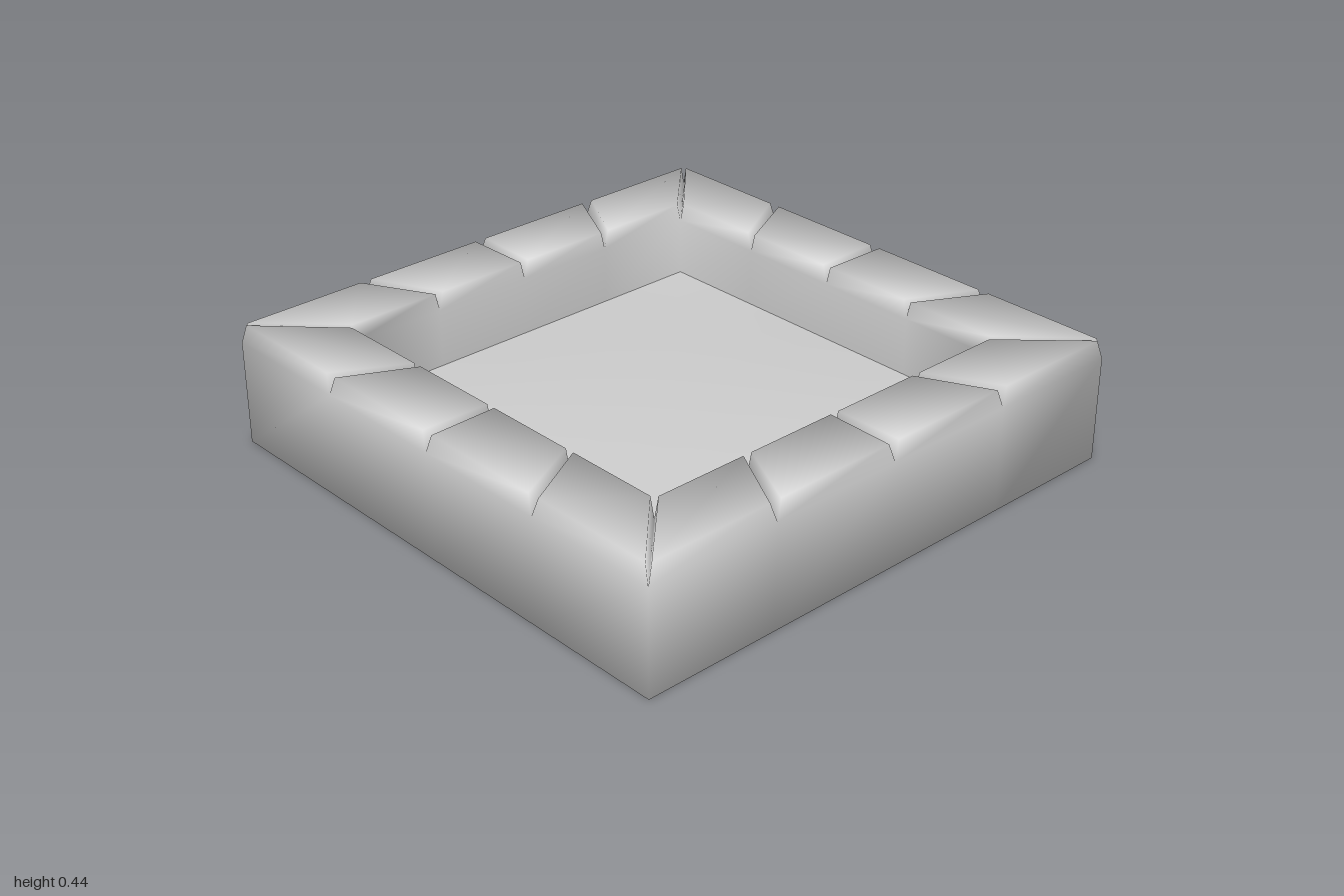
import * as THREE from 'three';
import { mergeVertices } from 'three/addons/utils/BufferGeometryUtils.js';

const INNER = 0.745, TOP = 0.443, NOTCH = 0.375, FLOOR = 0.165, DOME = 0.04, GAP = 0.022;

// Profile of the wall at position t (-1..1) along the front side,
// from the middle of the base, up the outside, over the rim and down the inside.
function profile(t, isNotch) {
  const notchT = Math.round(t * 2) / 2; // nearest notch or corner
  const y = isNotch ? NOTCH : TOP;
  return [
    [0, 0, 0],
    [notchT * 0.5, 0, 0.5],
    [notchT, 0, 1],
    [notchT, NOTCH, 1],
    [t, y, isNotch ? 1 : 0.99],
    [t * INNER, y, INNER],
    [notchT * INNER, NOTCH, INNER],
    [notchT * INNER, FLOOR, INNER],
  ];
}

// Soft normals: each face counts by its angle at the shared corner
function setSoftNormals(geometry) {
  const { position } = geometry.attributes;
  const index = geometry.index.array;
  const sums = Array.from({ length: position.count }, () => new THREE.Vector3());
  for (let i = 0; i < index.length; i += 3) {
    const ids = [index[i], index[i + 1], index[i + 2]];
    const corners = ids.map((id) => new THREE.Vector3().fromBufferAttribute(position, id));
    const normal = new THREE.Triangle(...corners).getNormal(new THREE.Vector3());
    ids.forEach((id, k) => {
      const toNext = corners[(k + 1) % 3].clone().sub(corners[k]);
      const toLast = corners[(k + 2) % 3].clone().sub(corners[k]);
      sums[id].addScaledVector(normal, toNext.angleTo(toLast));
    });
  }
  const normals = sums.flatMap((n) => n.normalize().toArray());
  geometry.setAttribute('normal', new THREE.Float32BufferAttribute(normals, 3));
}

function createWallGeometry() {
  // Stations round all four sides: each notch bottom and its two lips
  const rings = [];
  const up = new THREE.Vector3(0, 1, 0);
  for (let side = 0; side < 4; side++) {
    for (const n of [-1, -0.5, 0, 0.5, 1]) {
      for (const offset of [-GAP, 0, GAP]) {
        if (Math.abs(n + offset) > 1 || (n === 1 && offset === 0)) continue;
        rings.push(profile(n + offset, offset === 0).map((p) =>
          new THREE.Vector3(...p).applyAxisAngle(up, side * Math.PI / 2)));
      }
    }
  }

  // Skin the stations, leaving out collapsed triangles
  const positions = [];
  const addTriangle = (a, b, c) => {
    if (new THREE.Triangle(a, b, c).getArea() < 1e-7) return;
    for (const p of [a, b, c]) positions.push(p.x, p.y, p.z);
  };
  rings.forEach((a, i) => {
    const b = rings[(i + 1) % rings.length];
    for (let j = 0; j < a.length - 1; j++) {
      addTriangle(a[j], b[j], b[j + 1]);
      addTriangle(a[j], b[j + 1], a[j + 1]);
    }
  });

  const soup = new THREE.BufferGeometry();
  soup.setAttribute('position', new THREE.Float32BufferAttribute(positions, 3));
  const geometry = mergeVertices(soup, 1e-4);
  setSoftNormals(geometry);
  return geometry;
}

// Floor that swells gently towards the middle
function createFloorGeometry() {
  const geometry = new THREE.PlaneGeometry(INNER * 2, INNER * 2, 10, 10).rotateX(-Math.PI / 2);
  const { position } = geometry.attributes;
  for (let i = 0; i < position.count; i++) {
    const u = position.getX(i) / INNER, v = position.getZ(i) / INNER;
    position.setY(i, FLOOR + DOME * (1 - u * u) * (1 - v * v));
  }
  geometry.computeVertexNormals();
  return geometry;
}

export function createModel() {
  const group = new THREE.Group();
  group.name = 'stoneBasin';
  const material = new THREE.MeshStandardMaterial({ color: 0xcccccc });

  // Base and walls with the notched rim
  const wall = new THREE.Mesh(createWallGeometry(), material);
  wall.name = 'notchedWall';
  group.add(wall);

  // Sunken floor
  const floor = new THREE.Mesh(createFloorGeometry(), material);
  floor.name = 'floor';
  group.add(floor);

  return group;
}
